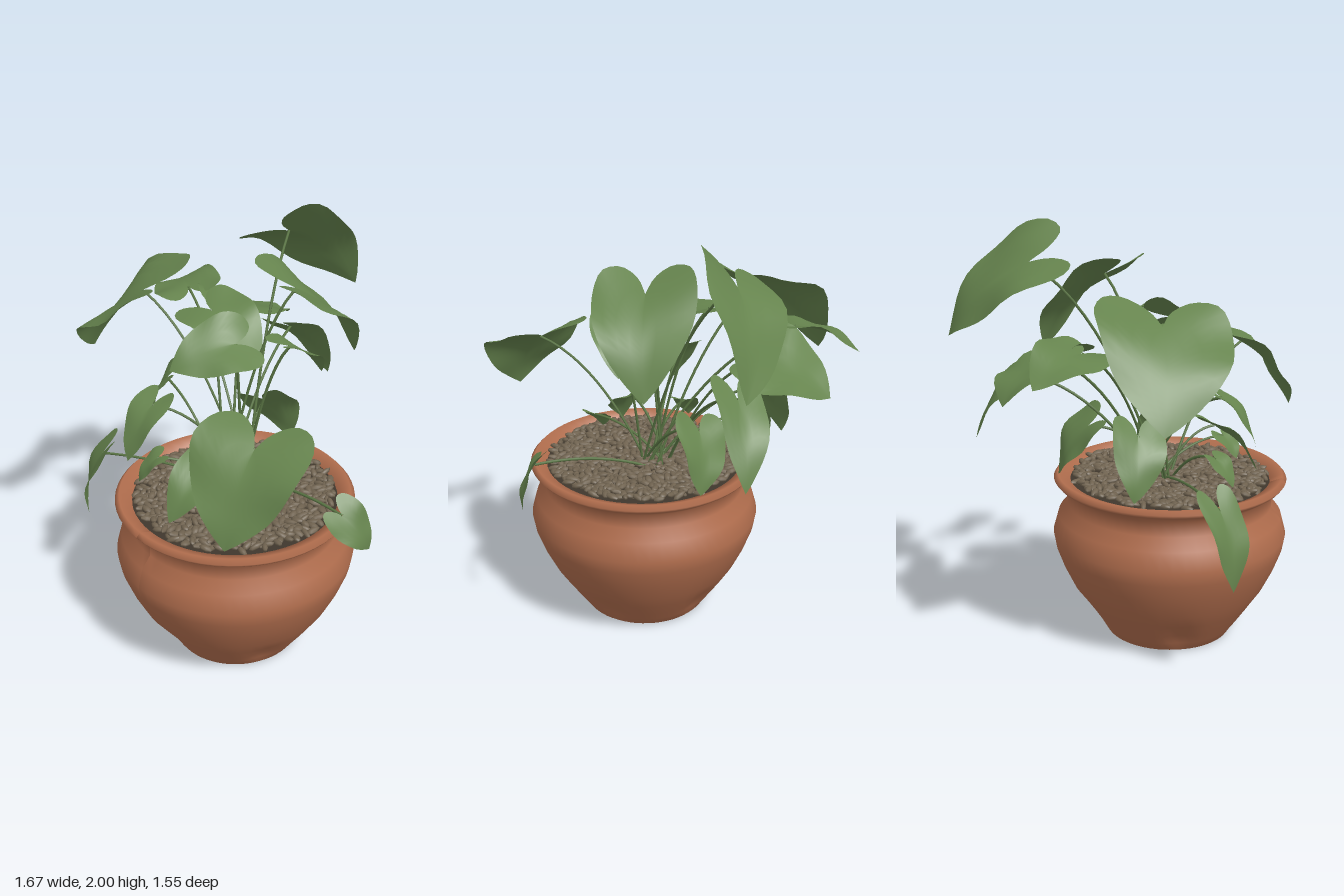
import * as THREE from 'three';
import { mergeGeometries } from 'three/addons/utils/BufferGeometryUtils.js';

const mat = (name, color, side = THREE.FrontSide) => {
  const m = new THREE.MeshStandardMaterial({ color, side });
  m.name = name;
  return m;
};
const POT = [0.105, 0.22]; // x and z of the pot's axis
const UP = new THREE.Vector3(0, 1, 0);

// Half outline of a heart leaf: x across, y from lobes (0) to tip (1)
const HALF = new THREE.SplineCurve(
  [[0, 0.2], [0.09, 0.05], [0.27, -0.05], [0.46, 0], [0.54, 0.2], [0.5, 0.46], [0.36, 0.7], [0.16, 0.89], [0, 1]]
    .map((p) => new THREE.Vector2(...p)));

// Heart leaf running from between its lobes to its tip, rolled about that line
function makeLeaf(mid, tip, width, roll, phase) {
  const along = tip.clone().sub(mid), len = along.length();
  const level = along.clone().cross(UP).normalize();
  const across = level.applyAxisAngle(along.clone().normalize(), -roll);
  const normal = across.clone().cross(along).normalize();
  // Arched lengthways, creased at the midrib, rippled at the edge
  const at = (u, v) => {
    const k = Math.abs(u);
    const bend = 0.5 * len * v * (1 - v)
      - 0.09 * width * Math.max(0, 1 - 2.2 * k) * (1 - v)
      + 0.1 * width * k * Math.sin(v * 9 + phase + Math.sign(u));
    return mid.clone().addScaledVector(along, v).addScaledVector(across, u * width).addScaledVector(normal, bend);
  };
  const rows = 22, cols = 8, pos = [], index = [];
  for (let i = 0; i <= rows; i++) {
    const t = i / rows, edge = HALF.getPoint(t), rib = 0.2 + 0.8 * t;
    for (let j = 0; j <= cols; j++) {
      const s = (j / cols) * 2 - 1;
      pos.push(...at(edge.x * s, rib + (edge.y - rib) * Math.abs(s)).toArray());
      if (i < rows && j < cols) {
        const p = i * (cols + 1) + j, q = p + cols + 1;
        index.push(p, q, p + 1, p + 1, q, q + 1);
      }
    }
  }
  const geo = new THREE.BufferGeometry();
  geo.setAttribute('position', new THREE.Float32BufferAttribute(pos, 3));
  geo.setIndex(index);
  geo.computeVertexNormals();
  return { geo, joint: at(0, 0.2) };
}

// Leaves: point between the lobes, tip, width, roll
const LEAVES = {
  backTopLeaf: [-0.2, 1.9, -0.25, -0.16, 1.47, -0.77, 0.41, 0.69],
  backRightLeaf: [0.12, 1.81, -0.01, 0.2, 1.35, -0.42, 0.43, -0.1],
  leftBigLeaf: [-0.38, 1.71, 0.26, -0.8, 1.25, 0.36, 0.55, 0.23],
  rightBigLeaf: [0.54, 1.42, 0.42, 0.67, 1.01, 0.73, 0.47],
  leftBackLeaf: [-0.3, 1.47, -0.18, -0.64, 1.29, -0.36, 0.43, -0.3],
  farLeftLeaf: [-0.49, 1.53, -0.01, -0.83, 1.42, -0.17, 0.3, 0.25],
  centreLeaf: [-0.27, 1.6, 0.12, 0.1, 1.42, 0.06, 0.31, -0.24],
  frontUpperLeaf: [0.13, 1.56, 0.14, -0.01, 1.46, 0.48, 0.28, 0.6],
  middleRightLeaf: [0.27, 1.58, 0.1, 0.27, 1.36, -0.15, 0.19],
  frontLeaf: [0.13, 1.07, 0.36, 0.15, 0.82, 0.63, 0.2, 0.35],
  frontLeftLeaf: [-0.14, 1.29, 0.44, -0.12, 1.02, 0.65, 0.18],
  smallFrontLeftLeaf: [-0.13, 0.98, 0.45, -0.18, 0.84, 0.56, 0.13],
  smallFrontRightLeaf: [0.33, 0.95, 0.42, 0.27, 0.83, 0.52, 0.13],
  lowLeftLeaf: [-0.47, 0.92, 0.51, -0.55, 0.5, 0.62, 0.2],
  leftDroopingLeaf: [-0.42, 1.2, 0.17, -0.58, 0.88, 0.19, 0.23, 0.45],
  lowRightLeaf: [0.62, 0.91, 0.08, 0.72, 0.68, -0.05, 0.18, -0.9],
  lowBackLeaf: [-0.1, 1.12, -0.08, -0.08, 0.81, -0.28, 0.26, 0.6],
  backDroopingLeaf: [-0.21, 1.39, -0.31, -0.2, 1, -0.64, 0.23, 0.35],
};

export function createModel() {
  const root = new THREE.Group();
  root.name = 'pottedPlant';
  const clay = mat('terracotta', 0xb06d4d);
  const soilMat = mat('soil', 0x3f372d);
  const stone = mat('pebble', 0x706350);
  const green = mat('leafGreen', 0x66844e, THREE.DoubleSide);
  const stemGreen = mat('stemGreen', 0x5a7544);
  const add = (name, geo, material, parent = root) => {
    const mesh = new THREE.Mesh(geo, material);
    mesh.name = name;
    parent.add(mesh);
    return mesh;
  };

  // Round pot with flared rim and shallow dents above the foot
  const profile = [[0, 0], [0.29, 0], [0.305, 0.005], [0.335, 0.05], [0.37, 0.1], [0.42, 0.175], [0.467, 0.25],
    [0.515, 0.35], [0.548, 0.44], [0.56, 0.51], [0.535, 0.6], [0.49, 0.655], [0.486, 0.725], [0.542, 0.765],
    [0.555, 0.782], [0.535, 0.803], [0.478, 0.78], [0.47, 0.73]].map((p) => new THREE.Vector2(...p));
  const potGeo = new THREE.LatheGeometry(profile, 60);
  const pp = potGeo.attributes.position;
  for (let i = 0; i < pp.count; i++) {
    const y = pp.getY(i), x = pp.getX(i), z = pp.getZ(i);
    const dent = Math.sin(Math.PI * Math.min(1, y / 0.2)) * Math.max(0, Math.cos(5 * Math.atan2(x, z))) ** 2;
    pp.setXYZ(i, x * (1 - 0.06 * dent), y, z * (1 - 0.06 * dent));
  }
  potGeo.computeVertexNormals();
  add('pot', potGeo, clay).position.set(POT[0], 0, POT[1]);

  // Soil under a bed of elongated pebbles
  const soil = add('soil', new THREE.CircleGeometry(0.478, 40).rotateX(-Math.PI / 2), soilMat);
  soil.position.set(POT[0], 0.768, POT[1]);
  let seed = 7;
  const rnd = () => (seed = (seed * 16807) % 2147483647) / 2147483647;
  const pebbles = [];
  const count = 680;
  for (let i = 0; i < count; i++) {
    const r = 0.458 * Math.sqrt((i + 0.5) / count), a = i * 2.39996;
    const g = new THREE.SphereGeometry(1, 7, 5);
    g.scale(0.026 + rnd() * 0.012, 0.013, 0.013 + rnd() * 0.006);
    g.rotateZ((rnd() - 0.5) * 0.7).rotateY(rnd() * Math.PI * 2);
    g.translate(POT[0] + r * Math.cos(a), 0.778 + rnd() * 0.018, POT[1] + r * Math.sin(a));
    pebbles.push(g);
  }
  add('pebbles', mergeGeometries(pebbles), stone);

  // Leaves, each on an arching stem rising from the middle of the pot
  Object.entries(LEAVES).forEach(([name, [mx, my, mz, tx, ty, tz, width, roll = 0]], i) => {
    const plant = new THREE.Group();
    plant.name = name;
    root.add(plant);
    const { geo, joint } = makeLeaf(new THREE.Vector3(mx, my, mz), new THREE.Vector3(tx, ty, tz), width, roll, i * 1.7);
    add('blade', geo, green, plant);
    const angle = i * 2.4;
    const foot = new THREE.Vector3(0.06 + 0.06 * Math.cos(angle), 0.76, 0.17 + 0.06 * Math.sin(angle));
    const bow = foot.clone().lerp(joint, 0.45);
    bow.y = foot.y + (joint.y - foot.y) * 0.75 + 0.06;
    const path = new THREE.QuadraticBezierCurve3(foot, bow, joint);
    add('stem', new THREE.TubeGeometry(path, 14, 0.0065, 6), stemGreen, plant);
  });
  return root;
}
